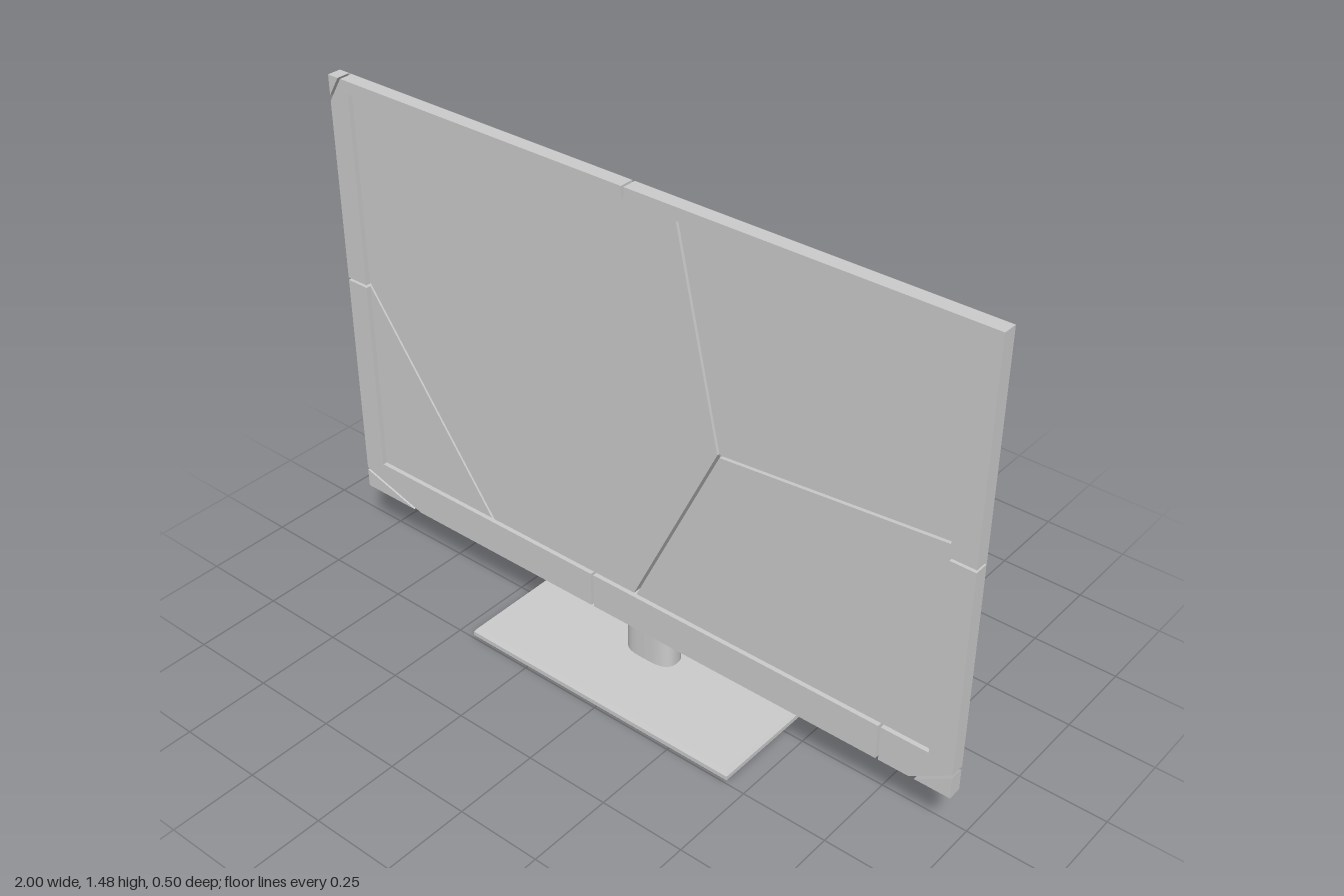
import * as THREE from 'three';
import { ConvexGeometry } from 'three/addons/geometries/ConvexGeometry.js';

const GAP = 0.004; // half the width of a crack
const material = new THREE.MeshStandardMaterial({ color: 0xcccccc });
const flat = new THREE.MeshStandardMaterial({ color: 0xcccccc, flatShading: true });

function addMesh(parent, name, geometry, mat = flat) {
  const mesh = new THREE.Mesh(geometry, mat);
  mesh.name = name;
  parent.add(mesh);
  return mesh;
}

// Rectangle in the xy plane at depth z
const rect = (x0, x1, y0, y1, z) =>
  [[x0, y0], [x1, y0], [x1, y1], [x0, y1]].map(([x, y]) => new THREE.Vector3(x, y, z));

// Cut a 3D polygon by a counter-clockwise xy cell that is shrunk by GAP
function clip(polygon, cell) {
  let points = polygon;
  cell.forEach(([ax, ay], i) => {
    const [bx, by] = cell[(i + 1) % cell.length];
    const length = Math.hypot(bx - ax, by - ay);
    const side = (p) => ((bx - ax) * (p.y - ay) - (by - ay) * (p.x - ax)) / length - GAP;
    const kept = [];
    points.forEach((p, k) => {
      const q = points[(k + 1) % points.length];
      const dp = side(p), dq = side(q);
      if (dp >= 0) kept.push(p);
      if (dp * dq < 0) kept.push(p.clone().lerp(q, dp / (dp - dq)));
    });
    points = kept;
  });
  return points;
}

// Split a convex solid, given by its faces, into one convex shard per cell
function addShards(parent, name, faces, cells) {
  for (const cell of cells) {
    const points = faces.flatMap((face) => clip(face, cell));
    if (points.length >= 6) addMesh(parent, name, new ConvexGeometry(points));
  }
}

function makeFrame() {
  const frame = new THREE.Group();
  frame.name = 'frame';
  const cells = [
    [[-1.1, 0.88], [-0.01, 0.88], [-0.01, 1.6], [-0.883, 1.6], [-1.1, 1.2475]],
    [[-1.1, 1.2475], [-0.883, 1.6], [-1.1, 1.6]],
    [[-0.01, 0.87], [1.1, 0.87], [1.1, 1.6], [-0.01, 1.6]],
    [[-1.1, 0.28], [-0.5, 0.1], [-0.13, 0.1], [-0.13, 0.88], [-1.1, 0.88]],
    [[-1.1, 0.28], [-1.1, 0.1], [-0.5, 0.1]],
    [[-0.13, 0.1], [0.79, 0.1], [0.79, 0.87], [-0.13, 0.87]],
    [[0.79, 0.126], [1.1, 0.3236], [1.1, 0.87], [0.79, 0.87]],
    [[0.79, 0.126], [0.79, 0.05], [1.1, 0.05], [1.1, 0.3236]],
  ];
  const rails = {
    bottomRail: [-1, 1, 0.19, 0.295],
    topRail: [-1, 1, 1.44, 1.475],
    rightRail: [-1, -0.93, 0.295, 1.44],
    leftRail: [0.93, 1, 0.295, 1.44],
  };
  for (const [name, r] of Object.entries(rails)) {
    addShards(frame, name, [rect(...r, 0.065), rect(...r, 0.105)], cells);
  }
  return frame;
}

function makeScreen() {
  const screen = new THREE.Group();
  screen.name = 'screen';
  const r = [-0.93, 0.93, 0.295, 1.44];
  const hub = [0.275, 0.848], top = [0.117, 1.54], side = [1.03, 0.914], foot = [-0.038, 0.195];
  const cells = [
    [[-1.03, 1.024], [-1.03, 0.195], [-0.433, 0.195]],
    [[-1.03, 1.024], [-0.433, 0.195], foot, hub, top, [-1.03, 1.54]],
    [hub, side, [1.03, 1.54], top],
    [foot, [1.03, 0.195], side, hub],
  ];
  addShards(screen, 'screenShard', [rect(...r, 0.067), rect(...r, 0.092)], cells);
  return screen;
}

function makeHousing() {
  const housing = new THREE.Group();
  housing.name = 'backHousing';
  const outer = rect(-1, 1, 0.26, 1.475, 0.064);
  const inner = rect(-0.71, 0.71, 0.31, 1.21, 0.002);
  const slopes = outer.map((p, i) => {
    const j = (i + 1) % 4;
    return [p, outer[j], inner[j], inner[i]];
  });
  const a = [-0.01, 1.05], b = [-0.13, 0.867], c = [0.87, 0.88];
  const cells = [
    [[-1.1, 0.87], b, a, [-0.01, 1.6], [-1.1, 1.6]],
    [a, c, [1.1, 0.841], [1.1, 1.6], [-0.01, 1.6]],
    [[-0.13, 0.1], [0.82, 0.1], c, a, b],
    [[0.82, 0.1], [1.1, 0.1], [1.1, 0.841], c],
    [[-1.1, 0.1], [-0.13, 0.1], b, [-1.1, 0.87]],
  ];
  addShards(housing, 'housingShard', [outer, inner, ...slopes], cells);
  return housing;
}

function makeStand() {
  const stand = new THREE.Group();
  stand.name = 'stand';

  // Rectangular foot plate with chamfered rim
  const w = 0.437, d = 0.242;
  const plate = new THREE.Shape([[-w, -d], [w, -d], [w, d], [-w, d]].map((p) => new THREE.Vector2(...p)));
  const base = new THREE.ExtrudeGeometry(plate, {
    depth: 0.013, bevelThickness: 0.011, bevelSize: 0.008, bevelSegments: 1,
  });
  base.rotateX(-Math.PI / 2).translate(0, 0.011, 0);
  addMesh(stand, 'base', base);

  // Neck with a rounded oblong section, its top leaning forward
  const levels = [0.03, 0.19, 0.25];
  const neck = new THREE.CylinderGeometry(1, 1, 2, 40, 2);
  const pos = neck.attributes.position;
  const bend = (v, e) => Math.sign(v) * Math.abs(v) ** e;
  for (let i = 0; i < pos.count; i++) {
    const level = Math.round(pos.getY(i)) + 1;
    const x = 0.08 * bend(pos.getX(i), 0.6);
    const s = bend(pos.getZ(i), 0.8);
    const z = level === 2 ? 0.0125 + 0.0325 * s : 0.0025 + 0.0425 * s;
    pos.setXYZ(i, x, levels[level] - (level === 2 ? 0.01 * s : 0), z);
  }
  neck.computeVertexNormals();
  addMesh(stand, 'neck', neck, material);
  return stand;
}

export function createModel() {
  const model = new THREE.Group();
  model.name = 'crackedTelevision';
  model.add(makeFrame(), makeScreen(), makeHousing(), makeStand());
  return model;
}
